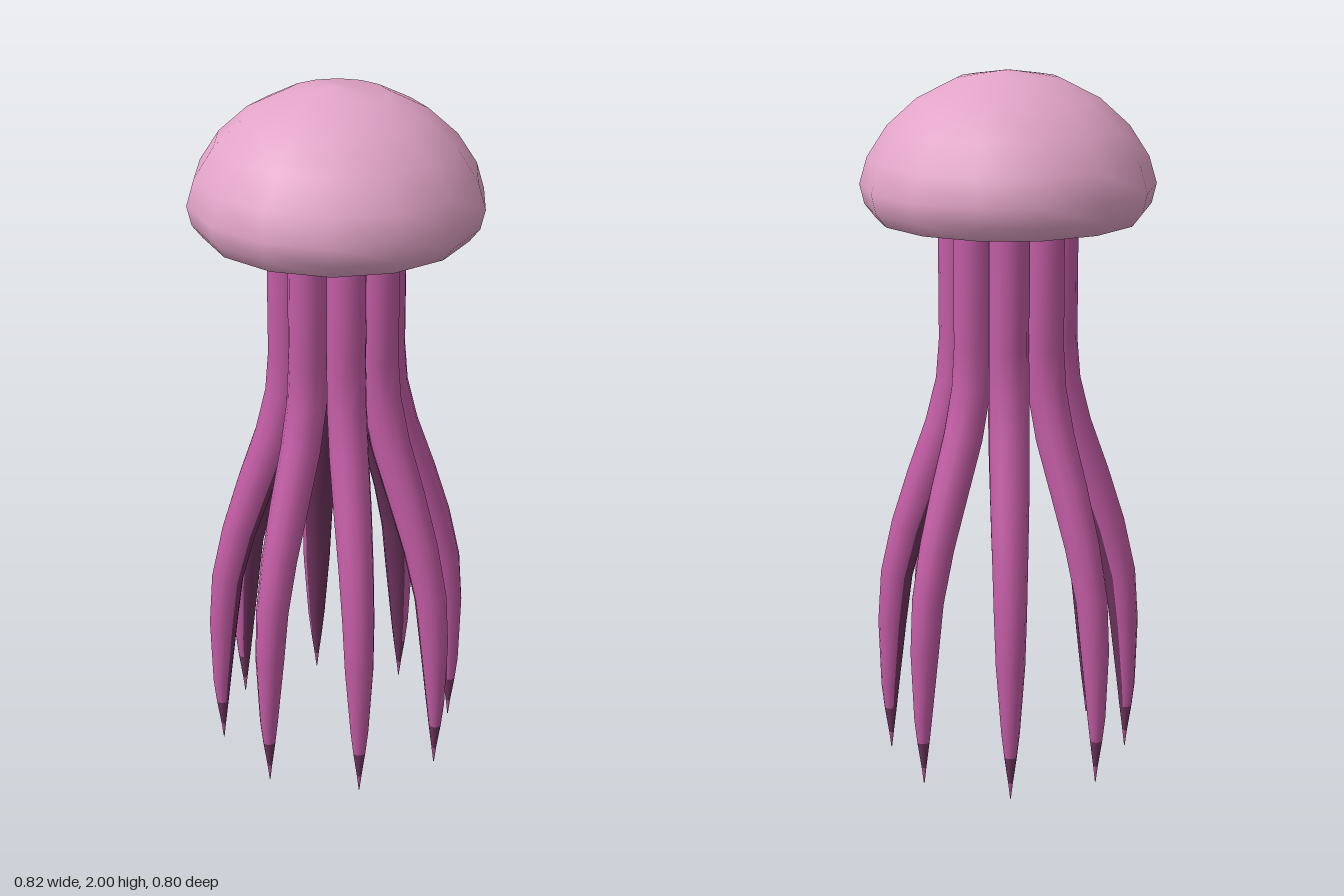
import * as THREE from 'three';
import { mergeVertices } from 'three/addons/utils/BufferGeometryUtils.js';

const flat = (name, color) => {
  const m = new THREE.MeshStandardMaterial({ color });
  m.name = name;
  return m;
};

// Fourteen-sided turned shape; points run from the underside outward and up
function turned(name, points, material) {
  const profile = points.map(([r, y]) => new THREE.Vector2(r, y));
  const mesh = new THREE.Mesh(new THREE.LatheGeometry(profile, 14, Math.PI / 2), material);
  mesh.name = name;
  return mesh;
}

// Rows of [height, distance from the axis, radius], top to tip
const ROWS = [
  [1.63, 0.14, 0.055], [1.25, 0.14, 0.055], [1.13, 0.149, 0.056], [1.0, 0.181, 0.056],
  [0.85, 0.236, 0.054], [0.7, 0.287, 0.05], [0.55, 0.324, 0.046], [0.4, 0.339, 0.041],
  [0.2, 0.348, 0.026], [0.13, 0.348, 0.018], [0.05, 0.347, 0.007], [0, 0.347, 0.001],
];
const SIDES = 12;

// One tapering arm: an open cylinder whose rings follow the rows at right angles
function tentacleGeometry() {
  const n = ROWS.length - 1;
  const geometry = new THREE.CylinderGeometry(1, 1, 1, SIDES, n, true);
  const p = geometry.attributes.position;
  for (let i = 0; i < p.count; i++) {
    const k = Math.round((0.5 - p.getY(i)) * n);
    const [y, out, r] = ROWS[k];
    const above = ROWS[Math.max(k - 1, 0)];
    const below = ROWS[Math.min(k + 1, n)];
    const tilt = Math.atan2(below[1] - above[1], above[0] - below[0]);
    const z = p.getZ(i) * r;
    p.setXYZ(i, p.getX(i) * r, y + z * Math.sin(tilt), out + z * Math.cos(tilt));
  }
  // Dark inner face and dark band above the tip (material 1)
  geometry.clearGroups();
  for (let side = 0; side < SIDES; side++) {
    const start = side * n * 6;
    const inner = side >= 4 && side < 8;
    geometry.addGroup(start, (n - 2) * 6, inner ? 1 : 0);
    geometry.addGroup(start + (n - 2) * 6, 6, 1);
    geometry.addGroup(start + (n - 1) * 6, 6, 0);
  }
  geometry.deleteAttribute('uv');
  geometry.deleteAttribute('normal');
  const welded = mergeVertices(geometry, 1e-5);
  welded.computeVertexNormals();
  return welded;
}

export function createModel() {
  const group = new THREE.Group();
  group.name = 'jellyfish';
  const pale = flat('pale pink', 0xe2a4c7);
  const rose = flat('deep rose', 0xc45a8c);
  const magenta = flat('magenta', 0xc25ca4);
  const plum = flat('dark plum', 0x6e345e);

  // Domed bell with a tucked-in rim
  group.add(turned('bell', [
    [0.32, 1.612], [0.34, 1.598], [0.368, 1.598], [0.397, 1.635], [0.41, 1.69],
    [0.388, 1.765], [0.333, 1.85], [0.25, 1.925], [0.14, 1.98], [0.01, 2], [0, 2],
  ], pale));

  // Hollow underside with a central boss that carries the tentacles
  group.add(turned('bellUnderside', [
    [0, 1.613], [0.2, 1.613], [0.205, 1.625], [0.212, 1.68], [0.24, 1.72],
    [0.29, 1.71], [0.315, 1.66], [0.32, 1.612],
  ], rose));

  // Ring of eight tentacles
  const geometry = tentacleGeometry();
  for (let i = 0; i < 8; i++) {
    const arm = new THREE.Mesh(geometry, [magenta, plum]);
    arm.name = `tentacle${i + 1}`;
    arm.rotation.y = (i * Math.PI) / 4;
    group.add(arm);
  }
  return group;
}
